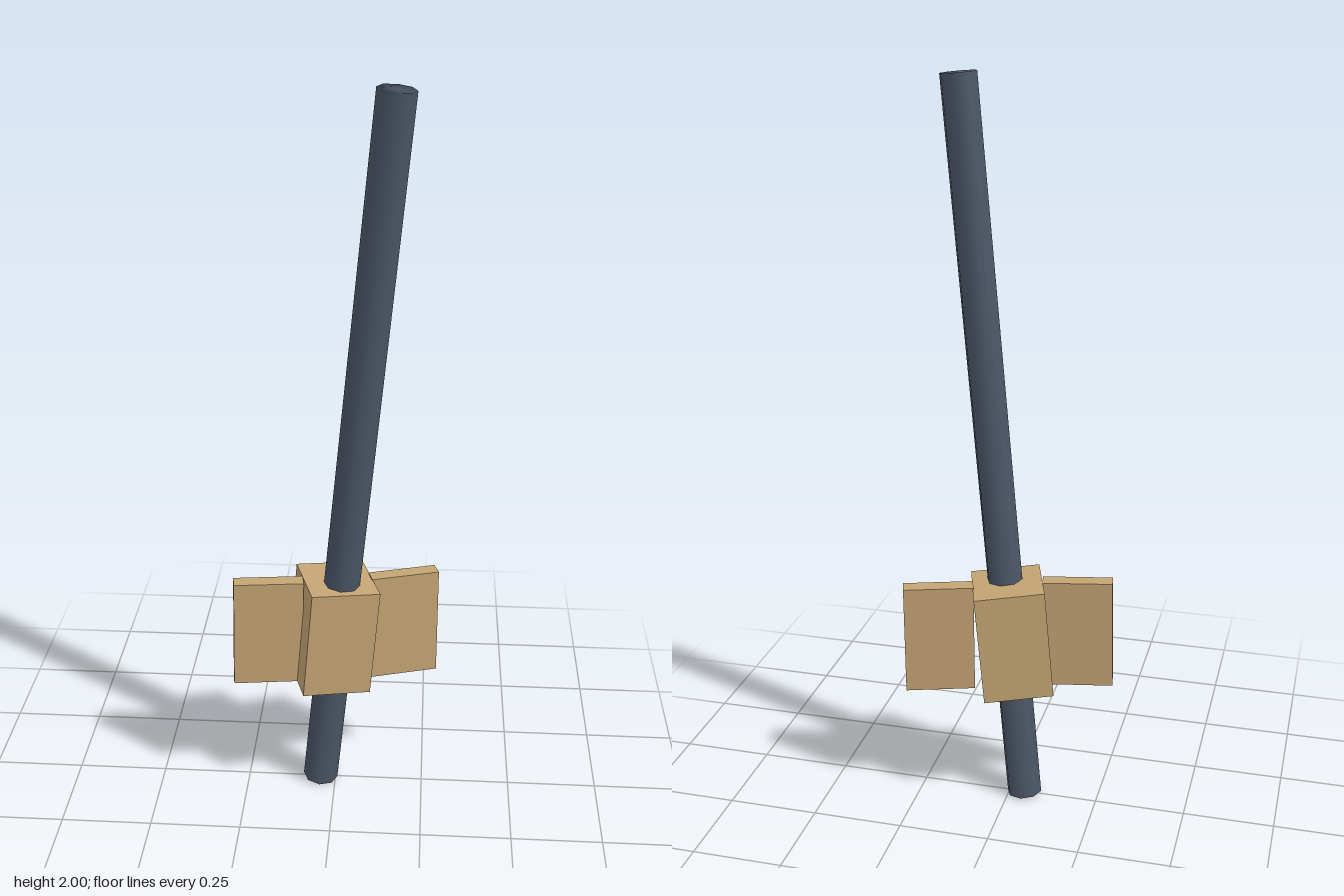
import * as THREE from 'three';
import { mergeVertices } from 'three/addons/utils/BufferGeometryUtils.js';

const woodMaterial = new THREE.MeshStandardMaterial({ color: 0xc4a574 });
const rodMaterial = new THREE.MeshStandardMaterial({ color: 0x4b5666 });

// Block with a yaw about y and small leans in its own frame
function block(name, size, position, yaw, leanX, leanZ) {
  const mesh = new THREE.Mesh(new THREE.BoxGeometry(...size), woodMaterial);
  mesh.name = name;
  mesh.position.set(...position);
  mesh.rotation.set(leanX, yaw, leanZ, 'YXZ');
  return mesh;
}

// Eight-sided rod between two points, shaded smoothly over its rims
function rod(name, from, to, radius) {
  const axis = to.clone().sub(from);
  let geometry = new THREE.CylinderGeometry(radius, radius, axis.length(), 8);
  geometry.deleteAttribute('normal');
  geometry.deleteAttribute('uv');
  geometry = mergeVertices(geometry);
  geometry.computeVertexNormals();
  const mesh = new THREE.Mesh(geometry, rodMaterial);
  mesh.name = name;
  mesh.position.copy(from).add(to).multiplyScalar(0.5);
  mesh.quaternion.setFromUnitVectors(new THREE.Vector3(0, 1, 0), axis.normalize());
  return mesh;
}

export function createModel() {
  const model = new THREE.Group();
  model.name = 'leaningRodWithFinnedHub';

  // Long leaning rod running through the hub
  model.add(rod('rod', new THREE.Vector3(-0.043, 0.005, 0), new THREE.Vector3(0.147, 1.995, 0.061), 0.049));

  // Square hub and its two side fins
  model.add(block('hub', [0.19, 0.31, 0.19], [-0.006, 0.502, -0.001], 0.305, 0, -0.086));
  model.add(block('leftFin', [0.19, 0.31, 0.043], [0.1855, 0.497, -0.0575], 0.305, -0.0245, -0.006));
  model.add(block('rightFin', [0.19, 0.31, 0.043], [-0.1835, 0.511, 0.037], 0.159, -0.01, -0.022));

  return model;
}
